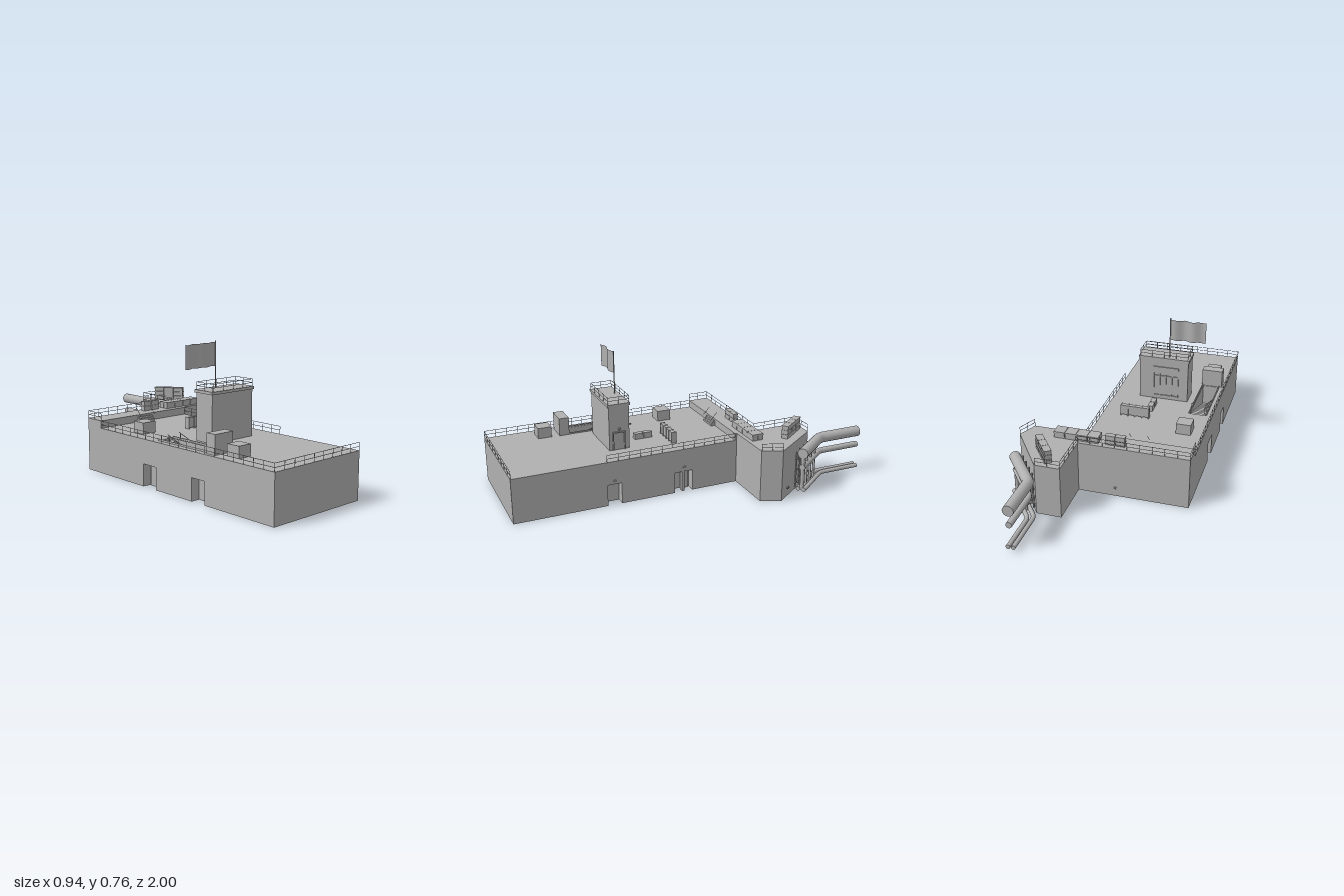
import * as THREE from 'three';

export function createModel() {
  const root = new THREE.Group();
  const grey = new THREE.MeshStandardMaterial({ color: 0xb0b0b0, side: THREE.DoubleSide });
  grey.name = 'concreteGrey';
  const DECK = 0.252, TOP = 0.293;

  const add = (name, geo, parent = root) => {
    const m = new THREE.Mesh(geo, grey);
    m.name = name;
    parent.add(m);
    return m;
  };
  // Box given by its minimum and maximum corners
  const box = (name, x0, x1, y0, y1, z0, z1, parent = root) => {
    const m = add(name, new THREE.BoxGeometry(x1 - x0, y1 - y0, z1 - z0), parent);
    m.position.set((x0 + x1) / 2, (y0 + y1) / 2, (z0 + z1) / 2);
    return m;
  };
  // Straight round bar between two points
  const bar = (name, a, b, r, parent = root, sides = 5) => {
    const A = new THREE.Vector3(...a), B = new THREE.Vector3(...b);
    const m = add(name, new THREE.CylinderGeometry(r, r, A.distanceTo(B), sides), parent);
    m.position.copy(A).add(B).multiplyScalar(0.5);
    m.quaternion.setFromUnitVectors(new THREE.Vector3(0, 1, 0), B.sub(A).normalize());
    return m;
  };
  // Extrude a plan outline of [x, z] points upward
  const toVec = pts => pts.map(([x, z]) => new THREE.Vector2(x, -z));
  const slab = (name, pts, y0, y1, hole) => {
    const s = new THREE.Shape(toVec(pts));
    if (hole) s.holes.push(new THREE.Path(toVec(hole)));
    const g = new THREE.ExtrudeGeometry(s, { depth: y1 - y0, bevelEnabled: false });
    g.rotateX(-Math.PI / 2).translate(0, y0, 0);
    return add(name, g);
  };
  // Two-bar railing along a path of [x, z] points
  const railing = (name, pts, y, h = 0.041) => {
    const g = new THREE.Group();
    g.name = name;
    for (let i = 0; i + 1 < pts.length; i++) {
      const [ax, az] = pts[i], [bx, bz] = pts[i + 1];
      for (const k of [0.5, 1]) bar('rail', [ax, y + h * k, az], [bx, y + h * k, bz], 0.0014, g);
      const n = Math.max(1, Math.round(Math.hypot(bx - ax, bz - az) / 0.065));
      for (let j = 0; j <= n; j++) {
        const x = ax + (bx - ax) * j / n, z = az + (bz - az) * j / n;
        bar('post', [x, y, z], [x, y + h, z], 0.0014, g);
      }
    }
    root.add(g);
  };

  // Main building: lower storey with door recesses, upper storey with a stairwell
  const L = -0.47, R = 0.138, B = -0.272, D = 0.05;
  slab('lowerStorey', [
    [L, 1], [R, 1],
    [R, 0.485], [R - D, 0.485], [R - D, 0.405], [R, 0.405],
    [R, 0.095], [R - D, 0.095], [R - D, -0.01], [R, -0.01],
    [R, B], [L, B],
    [L, 0.09], [L + D, 0.09], [L + D, 0.19], [L, 0.19],
    [L, 0.46], [L + D, 0.46], [L + D, 0.55], [L, 0.55],
  ], 0, 0.12);
  slab('upperStorey', [[L, 1], [R, 1], [R, B], [L, B]], 0.12, DECK,
    [[-0.43, 0.17], [-0.34, 0.17], [-0.34, 0.54], [-0.43, 0.54]]);
  box('doorPillar', R - 0.03, R - 0.005, 0, 0.12, 0.035, 0.05);
  box('doorLeaf', R - D, R - D + 0.008, 0, 0.11, 0.0, 0.035);
  box('innerDoor', L + D - 0.008, L + D, 0, 0.11, 0.1, 0.15);

  // Rear platform and side wing: hollow and open below
  const plan = [[L, B], [R, B], [R, -0.283], [0.42, -0.283], [0.465, -0.39],
    [0.275, -0.66], [R, -0.66], [R, -0.39], [L, -0.39]];
  slab('rearPlatform', plan, TOP - 0.015, TOP);
  plan.forEach(([ax, az], i) => {
    const [bx, bz] = plan[(i + 1) % plan.length];
    const g = new THREE.PlaneGeometry(Math.hypot(bx - ax, bz - az), TOP);
    g.rotateY(-Math.atan2(bz - az, bx - ax));
    add('rearWall', g).position.set((ax + bx) / 2, TOP / 2, (az + bz) / 2);
  });

  // Steps up to the platform
  for (let i = 0; i < 3; i++)
    box('platformStep', -0.215, -0.115, DECK, DECK + 0.0103 * (i + 1), B, -0.247 - i * 0.008);
  for (const x of [-0.215, -0.115])
    bar('stepRail', [x, DECK + 0.04, -0.247], [x, TOP + 0.04, -0.285], 0.0014);

  // Railings
  railing('frontRailing', [[R, 0.998], [L, 0.998], [L, B]], DECK);
  railing('sideRailing', [[R, 0.485], [R, B]], DECK);
  railing('platformRailing', [[L, B], [L, -0.388], [R, -0.388]], TOP);
  railing('wingBackRailing', [[R, -0.388], [R, -0.658], [0.272, -0.658]], TOP);
  railing('wingSideRailing', [[0.463, -0.39], [0.42, -0.285]], TOP);

  // Tower with roof, window, door and flag
  box('tower', -0.293, -0.007, DECK, 0.503, 0.302, 0.418);
  box('towerRoof', -0.299, -0.001, 0.501, 0.516, 0.296, 0.424);
  railing('towerRailing', [[-0.29, 0.42], [-0.01, 0.42], [-0.01, 0.3], [-0.29, 0.3], [-0.29, 0.42]], 0.516, 0.038);
  for (let i = 0; i <= 4; i++) {
    const x = -0.235 + i * 0.036;
    box('windowMullion', x - 0.003, x + 0.003, 0.275, 0.455, 0.296, 0.302);
  }
  for (const y of [0.275, 0.4, 0.455])
    box('windowTransom', -0.238, -0.088, y - 0.003, y + 0.003, 0.296, 0.302);
  for (const z of [0.33, 0.396])
    box('towerDoorPost', -0.007, 0, DECK, 0.355, z - 0.003, z + 0.003);
  box('towerDoorHead', -0.007, 0, 0.35, 0.357, 0.327, 0.399);
  bar('flagPole', [-0.178, 0.516, 0.32], [-0.178, 0.757, 0.32], 0.003, root, 8);
  const flag = new THREE.PlaneGeometry(0.204, 0.122, 24, 1);
  const p = flag.attributes.position;
  for (let i = 0; i < p.count; i++) {
    const x = p.getX(i);
    p.setZ(i, 0.006 * Math.sin((x - 0.102) * 60));
    p.setY(i, p.getY(i) + 0.0015 * Math.sin(x * 90));
  }
  flag.computeVertexNormals();
  add('flag', flag).position.set(-0.281, 0.687, 0.32);

  // Stairwell going down to a head house
  for (let i = 0; i < 10; i++) {
    const z = 0.17 + i * 0.037;
    box('stairTread', -0.43, -0.34, 0.12, 0.24 - i * 0.012, z, z + 0.037);
  }
  for (const x of [-0.415, -0.337]) {
    bar('stairRail', [x, DECK + 0.035, 0.22], [x, DECK - 0.06, 0.5], 0.002);
    for (let i = 0; i < 5; i++) {
      const z = 0.23 + i * 0.06, y = DECK + 0.035 - (z - 0.22) * 0.34;
      bar('stairPost', [x, y - 0.07, z], [x, y, z], 0.002);
    }
  }
  for (const x of [-0.435, -0.335])
    box('stairCurb', x - 0.003, x + 0.003, DECK, DECK + 0.008, 0.17, 0.545);
  box('headHouse', -0.45, -0.33, DECK, 0.354, 0.545, 0.602);

  // Deck boxes
  box('deckBox', -0.415, -0.335, DECK, 0.313, 0.647, 0.725);
  box('deckBox', -0.4, -0.317, DECK, 0.313, -0.075, 0.005);
  box('locker', -0.13, 0.03, DECK + 0.006, 0.314, 0.042, 0.066);
  for (let i = 0; i < 5; i++) {
    const x = -0.13 + i * 0.04;
    box('lockerRib', x - 0.003, x + 0.003, DECK, 0.316, 0.039, 0.069);
  }
  box('bench', -0.13, -0.101, DECK, 0.285, 0.13, 0.18);
  box('bench', -0.13, -0.101, DECK, 0.285, 0.184, 0.235);

  // Crate stacks: rows of banded crates
  const crates = (x, z, nx, nz, ny, sx, sy, sz, turn = 0) => {
    const g = new THREE.Group();
    g.name = 'crateStack';
    for (let i = 0; i < nx; i++) for (let j = 0; j < nz; j++) for (let k = 0; k < ny; k++) {
      const cx = (i - (nx - 1) / 2) * sx, cz = (j - (nz - 1) / 2) * sz, y = k * sy;
      box('crate', cx - sx / 2 + 0.002, cx + sx / 2 - 0.002, y, y + sy - 0.004, cz - sz / 2 + 0.002, cz + sz / 2 - 0.002, g);
      box('crateLid', cx - sx / 2 + 0.001, cx + sx / 2 - 0.001, y + sy * 0.7, y + sy - 0.001, cz - sz / 2, cz + sz / 2, g);
    }
    g.position.set(x, TOP, z);
    g.rotation.y = turn;
    root.add(g);
  };
  crates(0.155, -0.338, 4, 2, 1, 0.0625, 0.037, 0.033);
  crates(-0.06, -0.351, 2, 1, 2, 0.055, 0.028, 0.03);
  crates(0.263, -0.555, 3, 1, 3, 0.06, 0.025, 0.04, -0.93);

  // Pipes: a run along the wing, then a bend toward the back
  const ux = 0.61, uz = 0.79, ex = 0.437, ez = -0.53;
  const at = (t, off = 0) => [ex - ux * t + uz * off, ez - uz * t - ux * off];
  const pipe = (y, r, off) => {
    const [ax, az] = at(0, off), [bx, bz] = at(0.27, off);
    const path = new THREE.CurvePath();
    const a = new THREE.Vector3(ax, y, az), b = new THREE.Vector3(bx, y, bz), c = new THREE.Vector3(bx, y, -1);
    const b0 = b.clone().lerp(a, 0.1), b1 = b.clone().lerp(c, 0.1);
    path.add(new THREE.LineCurve3(a, b0));
    path.add(new THREE.QuadraticBezierCurve3(b0, b, b1));
    path.add(new THREE.LineCurve3(b1, c));
    add('pipe', new THREE.TubeGeometry(path, 48, r, 16));
    const cap = new THREE.CircleGeometry(r, 16);
    add('pipeCap', cap).position.copy(c);
    const end = add('pipeCap', cap);
    end.position.copy(a);
    end.rotation.y = Math.atan2(ux, uz);
  };
  pipe(0.241, 0.03, 0);
  pipe(0.16, 0.017, 0);
  pipe(0.03, 0.012, 0.016);
  pipe(0.03, 0.012, -0.018);

  // Upright feed pipes and wall frame beside the wing
  [0.012, 0.07, 0.13, 0.19].forEach((t, i) => {
    const [x, z] = at(t), [wx, wz] = at(t, -0.04);
    bar('feedPipe', [x, 0.025, z], [x, 0.24, z], i ? 0.007 : 0.012, root, 10);
    bar('wallFrame', [wx, 0.03, wz], [wx, 0.24, wz], 0.005, root, 6);
    for (const y of [0.06, 0.2]) bar('wallBracket', [x, y, z], [wx, y, wz], 0.004, root, 6);
  });
  for (const y of [0.06, 0.13, 0.2]) {
    const [ax, az] = at(0, -0.04), [bx, bz] = at(0.2, -0.04);
    bar('wallFrame', [ax, y, az], [bx, y, bz], 0.004, root, 6);
  }

  // Small wall lamps
  for (const [x, y, z] of [[R, 0.138, 0.445], [R, 0.145, 0.04], [-0.004, 0.37, 0.36], [-0.07, 0.05, -0.392], [0.425, 0.05, -0.45]]) {
    box('wallLamp', x - 0.005, x + 0.007, y, y + 0.006, z - 0.008, z + 0.008);
    box('lampStem', x - 0.002, x + 0.004, y - 0.008, y, z - 0.002, z + 0.002);
  }
  return root;
}
